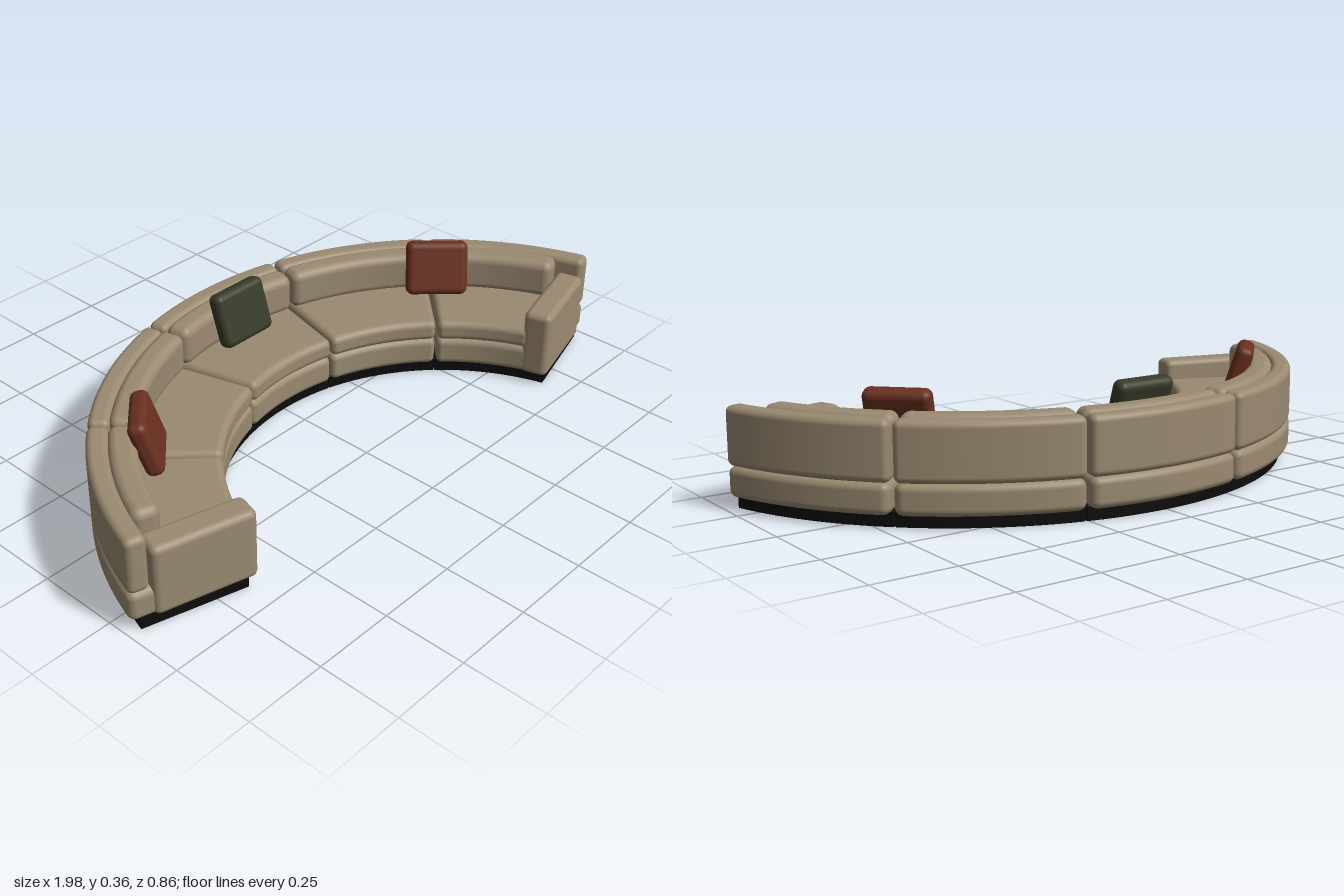
import * as THREE from 'three';

const CENTRE_Z = 0.6;               // centre of the sofa's curve
const rad = THREE.MathUtils.degToRad;
const fabric = new THREE.MeshStandardMaterial({ color: 0x9a8a71 });
const black = new THREE.MeshStandardMaterial({ color: 0x0c0c0c });
const rust = new THREE.MeshStandardMaterial({ color: 0x6a3020 });
const olive = new THREE.MeshStandardMaterial({ color: 0x363b28 });

// Box with rounded edges and extra divisions along x, so that it can be bent
function softBox(w, h, d, r, mid = 1) {
  const k = 4, half = [w / 2, h / 2, d / 2], n = [mid + 2 * k, 1 + 2 * k, 1 + 2 * k];
  const geo = new THREE.BoxGeometry(1, 1, 1, ...n);
  const pos = geo.attributes.position, nor = geo.attributes.normal;
  const spread = (t, axis) => {
    const i = Math.round((t + 0.5) * n[axis]), core = half[axis] - r, last = n[axis] - k;
    const off = (j) => r * Math.tan((j / k) * Math.PI / 4);
    if (i < k) return -core - off(k - i);
    if (i > last) return core + off(i - last);
    return -core + 2 * core * (i - k) / (last - k);
  };
  for (let i = 0; i < pos.count; i++) {
    const p = [pos.getX(i), pos.getY(i), pos.getZ(i)].map(spread);
    const c = p.map((v, a) => THREE.MathUtils.clamp(v, r - half[a], half[a] - r));
    const dir = new THREE.Vector3(p[0] - c[0], p[1] - c[1], p[2] - c[2]).normalize();
    pos.setXYZ(i, c[0] + dir.x * r, c[1] + dir.y * r, c[2] + dir.z * r);
    nor.setXYZ(i, dir.x, dir.y, dir.z);
  }
  return geo;
}

// Soft block bent along the curve, between two radii, heights and angles
function arcBlock(name, r0, r1, y0, y1, a0, a1, round, material, gap = 0.004) {
  const rMid = (r0 + r1) / 2, aMid = rad((a0 + a1) / 2);
  const geo = softBox(rMid * rad(a1 - a0) - 2 * gap, y1 - y0, r1 - r0, round, 20);
  const pos = geo.attributes.position, nor = geo.attributes.normal;
  for (let i = 0; i < pos.count; i++) {
    const a = aMid + pos.getX(i) / rMid, r = rMid - pos.getZ(i);
    const s = Math.sin(a), c = Math.cos(a), nx = nor.getX(i), nz = nor.getZ(i);
    pos.setXYZ(i, s * r, pos.getY(i) + (y0 + y1) / 2, CENTRE_Z - c * r);
    nor.setXYZ(i, c * nx - s * nz, nor.getY(i), s * nx + c * nz);
  }
  const mesh = new THREE.Mesh(geo, material);
  mesh.name = name;
  return mesh;
}

// Group standing on the curve at a given angle and radius, facing its centre
function stationAt(angle, radius) {
  const g = new THREE.Group(), a = rad(angle);
  g.position.set(Math.sin(a) * radius, 0, CENTRE_Z - Math.cos(a) * radius);
  g.rotation.y = -a;
  return g;
}

export function createModel() {
  const sofa = new THREE.Group();
  sofa.name = 'curvedSofa';

  // Five sections of 30 degrees; cushions of the outer two stop at the arms
  for (let i = -2; i <= 2; i++) {
    const a0 = i * 30 - 15, a1 = i * 30 + 15;
    const c0 = Math.max(a0, -70), c1 = Math.min(a1, 70);
    const p0 = Math.max(a0, -74.3), p1 = Math.min(a1, 74.3);
    const section = new THREE.Group();
    section.name = 'section' + (i + 3);
    section.add(
      arcBlock('plinth', 0.685, 1.0, 0, 0.045, p0, p1, 0.003, black, 0.001),
      arcBlock('base', 0.665, 1.03, 0.036, 0.127, a0, a1, 0.022, fabric),
      arcBlock('backrest', 0.968, 1.03, 0.126, 0.299, a0, a1, 0.02, fabric),
      arcBlock('seatCushion', 0.663, 0.975, 0.124, 0.19, c0, c1, 0.022, fabric),
      arcBlock('backCushion', 0.892, 0.972, 0.18, 0.304, c0, c1, 0.027, fabric),
    );
    sofa.add(section);
  }

  // Arms closing both ends
  for (const side of [-1, 1]) {
    const end = stationAt(side * 75, 0.812);
    end.name = side > 0 ? 'leftArm' : 'rightArm';
    const arm = new THREE.Mesh(softBox(0.088, 0.218, 0.304, 0.02), fabric);
    arm.name = 'armBlock';
    arm.position.set(-side * 0.038, 0.145, 0);
    end.add(arm);
    sofa.add(end);
  }

  // Loose pillows leaning on the back cushions
  for (const [angle, material] of [[-46, rust], [0, olive], [46, rust]]) {
    const spot = stationAt(angle, 0.866);
    spot.name = 'pillow';
    const pillow = new THREE.Mesh(softBox(0.196, 0.172, 0.055, 0.022), material);
    pillow.name = 'pillowBody';
    pillow.position.y = 0.276;
    pillow.rotation.x = rad(-18);
    spot.add(pillow);
    sofa.add(spot);
  }
  return sofa;
}
